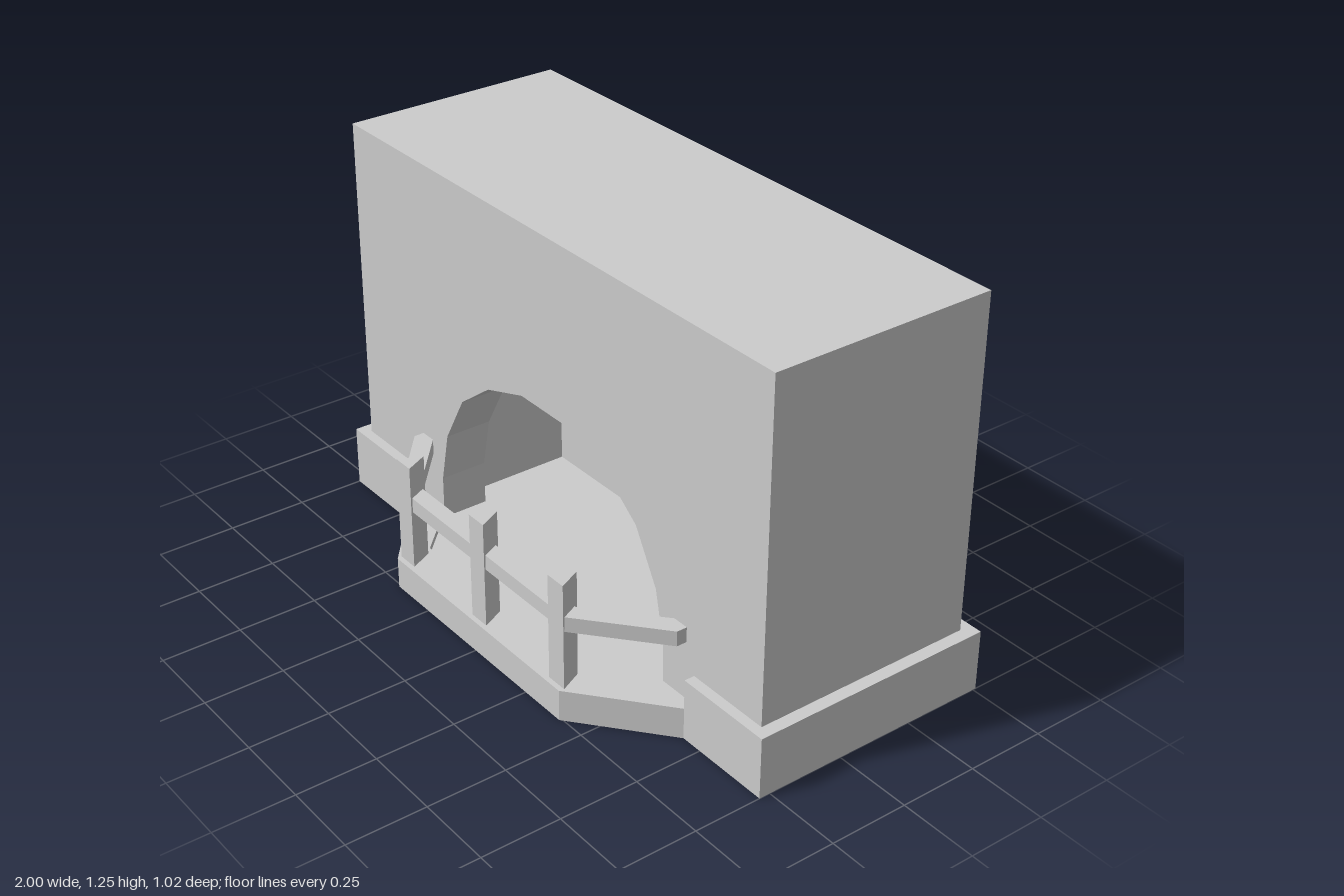
import * as THREE from 'three';

const grey = new THREE.MeshStandardMaterial({ color: 0xcccccc, flatShading: true });

const mesh = (name, geometry) => {
  const m = new THREE.Mesh(geometry, grey);
  m.name = name;
  return m;
};

// Prism over a ground plan of [x, z] points, between heights y0 and y1
function planPrism(name, points, y0, y1) {
  const shape = new THREE.Shape(points.map(([x, z]) => new THREE.Vector2(x, -z)));
  const g = new THREE.ExtrudeGeometry(shape, { depth: y1 - y0, bevelEnabled: false });
  g.rotateX(-Math.PI / 2).translate(0, y0, 0);
  return mesh(name, g);
}

// Completes a plan or outline given for +x by mirroring it to -x
const mirrored = (half) => [...half, ...half.map(([x, z]) => [-x, z]).reverse()];

export function createModel() {
  const group = new THREE.Group();
  const floorY = 0.08, rimY = 0.1, plinthY = 0.195, ceilingY = 0.8, topY = 1.25;
  const back = -0.47, front = 0.252, inner = 0.1, cavityX = 0.62, cavityBack = -0.25;

  // Plinth wrapping the sides and back
  group.add(planPrism('plinth', mirrored([
    [cavityX, cavityBack], [cavityX, inner], [0.68, inner], [0.68, 0.285], [1, 0.285], [1, -0.51],
  ]), 0, plinthY));

  // Firebox floor running out into the hearth
  group.add(planPrism('hearthFloor', mirrored([
    [0.69, -0.3], [0.68, 0.285], [0.41, 0.508],
  ]), 0, floorY));

  // Raised hearth rim
  group.add(planPrism('hearthRim', mirrored([
    [0.4, 0.4], [0.55, 0.25], [0.68, 0.25], [0.68, 0.285], [0.41, 0.508],
  ].reverse()), 0, rimY));

  // Chimney breast: side and back walls around the firebox
  group.add(planPrism('walls', mirrored([
    [cavityX, cavityBack], [cavityX, inner], [0.96, inner], [0.96, back],
  ]), plinthY, ceilingY));
  group.add(planPrism('upperBreast', mirrored([[0.96, back], [0.96, inner]]), ceilingY, topY));

  // Front wall with the faceted arch opening
  const arch = [[0.545, floorY], [0.545, 0.22], [0.51, 0.385], [0.42, 0.545], [0.28, 0.65], [0.11, 0.706]];
  const outline = [
    [-0.96, floorY], [-0.96, topY], [0.96, topY], [0.96, floorY], ...mirrored(arch),
  ].map(([x, y]) => new THREE.Vector2(x, y));
  const wall = new THREE.ExtrudeGeometry(new THREE.Shape(outline), { depth: front - inner, bevelEnabled: false });
  wall.translate(0, 0, inner);
  group.add(mesh('archWall', wall));

  // Fence: triangular posts and a bent rail
  for (const x of [-0.378, 0, 0.378]) {
    group.add(planPrism('fencePost', [[x - 0.035, 0.492], [x + 0.035, 0.492], [x, 0.42]], rimY, 0.44));
  }
  group.add(planPrism('fenceRail', mirrored([
    [0.388, 0.432], [0.595, 0.25], [0.645, 0.25], [0.645, 0.285], [0.41, 0.485],
  ]), 0.287, 0.335));

  return group;
}
